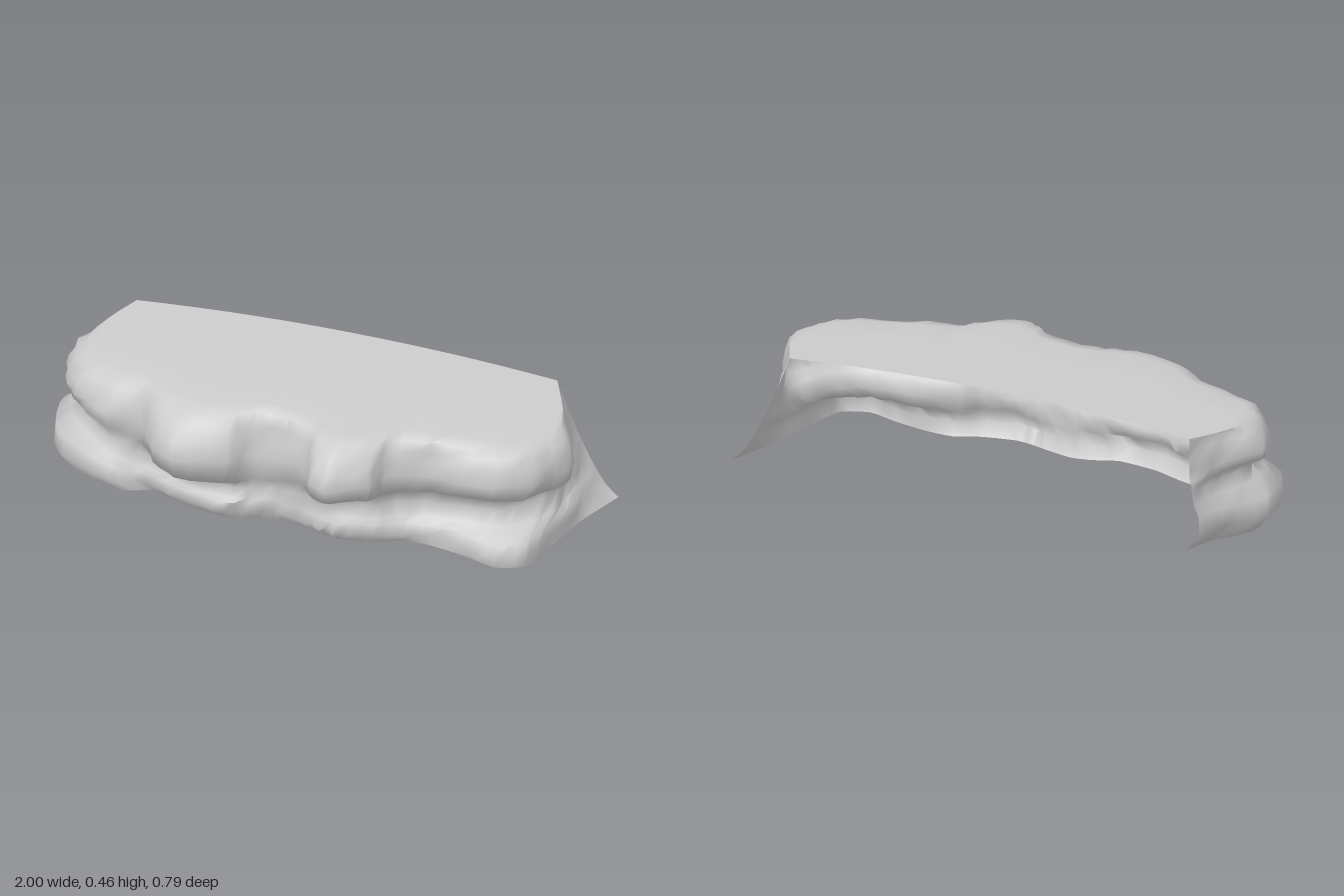
import * as THREE from 'three';
import { toCreasedNormals } from 'three/addons/utils/BufferGeometryUtils.js';

const BACK = -0.395;
const COLS = 69; // three steps per outline point

// Outlines (x, z) running from the back corner at -x round the front to the back corner at +x
const TOP = [-.82, BACK, -.87, -.28, -.91, -.14, -.88, -.01, -.82, .06, -.7, .1, -.6, .12, -.5, .19,
  -.4, .23, -.24, .23, -.15, .19, -.06, .19, .06, .22, .12, .27, .19, .3, .31, .25,
  .36, .18, .5, .15, .7, .11, .82, .06, .87, -.02, .89, -.1, .86, -.22, .77, BACK];
const LEDGE = [-.82, BACK, -.89, -.28, -.98, -.14, -.94, 0, -.87, .1, -.72, .17, -.6, .17, -.5, .3,
  -.4, .36, -.22, .3, -.16, .23, -.06, .22, .06, .27, .12, .37, .19, .39, .32, .32,
  .36, .23, .49, .17, .68, .17, .83, .12, .9, .02, .945, -.08, .89, -.22, .8, BACK];
const RECESS = [-.83, BACK, -.86, -.28, -.91, -.12, -.89, 0, -.84, .07, -.72, .14, -.6, .15, -.5, .17,
  -.4, .22, -.24, .23, -.15, .21, -.06, .2, .06, .22, .12, .23, .19, .23, .31, .2,
  .38, .15, .5, .11, .68, .09, .78, .04, .84, -.05, .88, -.12, .88, -.22, .88, BACK];
const FOOT = [-.86, BACK, -.9, -.28, -1, -.13, -.98, .02, -.9, .14, -.7, .21, -.6, .17, -.5, .2,
  -.4, .24, -.24, .26, -.15, .22, -.06, .2, .06, .23, .12, .25, .19, .26, .31, .23,
  .4, .18, .5, .16, .65, .19, .76, .225, .86, .18, .89, .06, .93, -.18, .95, BACK];

// The base tucks in under the foot, except where it flares at the +x end
const BASE = FOOT.map((v, i) => {
  if (i === 46) return 1;
  if (i % 2) return v > 0 ? v * (i > 34 ? .95 : .85) : v;
  return v < 0 ? v * .94 : v;
});

// Height, two outlines, blend between them, sag at the middle, lift at the -x end
const LAYERS = [
  [0, BASE, BASE, 0, 0, 0],
  [.045, FOOT, FOOT, 0, 0, .02],
  [.085, FOOT, RECESS, .12, .1, .055],
  [.105, FOOT, RECESS, .75, .2, .09],
  [.155, RECESS, RECESS, 0, .5, .085],
  [.208, RECESS, LEDGE, .2, 1, .055],
  [.228, RECESS, LEDGE, .82, 1, .05],
  [.29, LEDGE, LEDGE, 0, .4, .02],
  [.34, LEDGE, TOP, .22, .2, 0],
  [.385, LEDGE, TOP, .55, 0, 0],
  [null, TOP, TOP, 0, 0, 0],
];

let seed = 7;
function rand() {
  seed = (seed * 16807) % 2147483647;
  return seed / 2147483647 - .5;
}

const sagAt = x => -.05 * Math.exp(-(((x + .25) / .28) ** 2));
const liftAt = x => 1 - THREE.MathUtils.smoothstep(x, -.93, -.6);
const topHeight = (x, z) => .45 - .037 * z - .055 * x * x;

function curve(outline) {
  const pts = [];
  for (let i = 0; i < outline.length; i += 2) pts.push(new THREE.Vector3(outline[i], 0, outline[i + 1]));
  return new THREE.CatmullRomCurve3(pts, false, 'catmullrom', .3);
}

// Joins rows of points into one sheet
function sheet(rows) {
  const n = rows[0].length, index = [];
  for (let r = 0; r < rows.length - 1; r++) {
    for (let c = 0; c < n - 1; c++) {
      const a = r * n + c, b = a + n;
      index.push(a, a + 1, b + 1, a, b + 1, b);
    }
  }
  const geo = new THREE.BufferGeometry().setFromPoints(rows.flat());
  geo.setIndex(index);
  return toCreasedNormals(geo, 1.25);
}

export function createModel() {
  const group = new THREE.Group();
  group.name = 'rockLedge';
  const stone = new THREE.MeshStandardMaterial({ color: 0xcccccc, roughness: .9, side: THREE.DoubleSide });
  const baseCurve = curve(BASE), topCurve = curve(TOP);

  // Layered cliff face, open at the back and underneath
  const cliffRows = LAYERS.map(([y, from, to, blend, sag, lift]) => {
    const a = curve(from), b = curve(to), row = [];
    for (let c = 0; c <= COLS; c++) {
      const t = c / COLS;
      const p = a.getPoint(t).lerp(b.getPoint(t), blend);
      const end = c === 0 || c === COLS;
      const inner = y !== 0 && y !== null;
      if (inner) {
        // The layers fade into one flared wall towards the back at +x
        if (p.x > 0) {
          const wall = baseCurve.getPoint(t).lerp(topCurve.getPoint(t), (y / .43) ** .7);
          p.lerp(wall, THREE.MathUtils.smoothstep(-p.z, .14, .32));
        }
        if (!end) {
          p.x += rand() * .014;
          p.z = Math.max(BACK, p.z + rand() * .014);
        }
      }
      p.y = y === null ? topHeight(p.x, p.z) - .01 + rand() * .01
        : y + sag * sagAt(p.x) + lift * liftAt(p.x) + (inner && !end ? rand() * .01 : 0);
      row.push(p);
    }
    return row;
  });

  // Gently domed top from the rim to the straight back edge
  const rim = cliffRows[cliffRows.length - 1];
  const topRows = [.1, .35, .65, 1].map(t => rim.map((p, c) => {
    if (c === 0 || c === COLS) return p.clone();
    const q = p.clone().lerp(new THREE.Vector3(THREE.MathUtils.clamp(p.x, -.82, .77), 0, BACK), t);
    q.y = topHeight(q.x, q.z);
    return q;
  }));

  const shell = new THREE.Mesh(sheet([...cliffRows, ...topRows]), stone);
  shell.name = 'rockShell';
  group.add(shell);
  return group;
}
